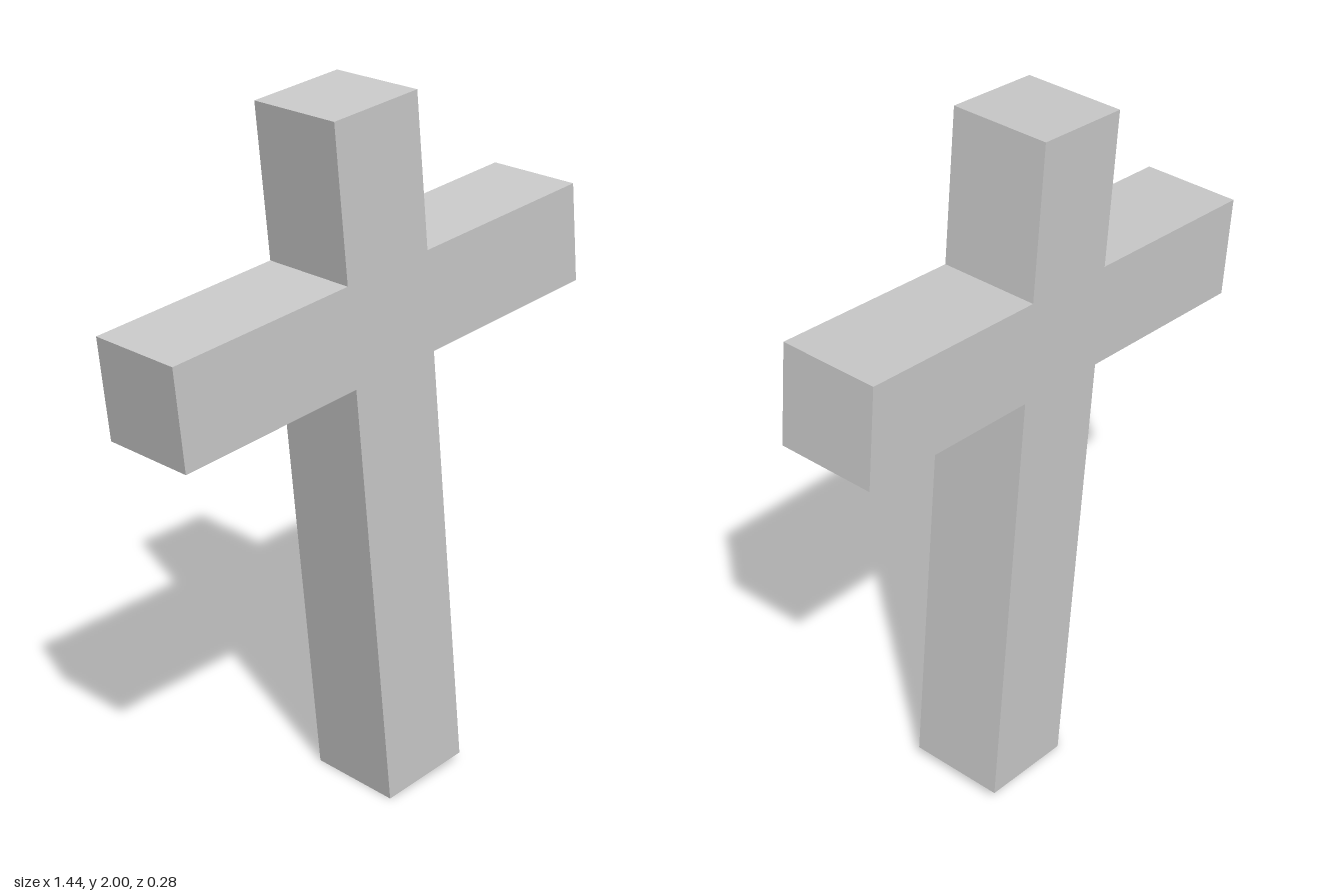
import * as THREE from 'three';

export function createModel() {
  const model = new THREE.Group();
  const stone = new THREE.MeshStandardMaterial({ color: 0xcccccc });
  stone.name = 'grey stone';

  // All proportions are multiples of the square beam width
  const u = 0.283;
  const half = [[0.5, 0], [0.5, 4.5], [2.5, 4.5], [2.5, 5.5], [0.5, 5.5], [0.5, 7]];
  const mirrored = half.map(([x, y]) => [-x, y]).reverse();
  const outline = [...half, ...mirrored].map(([x, y]) => new THREE.Vector2(x * u, y * u));

  // Upright and crossbar as one solid
  const geometry = new THREE.ExtrudeGeometry(new THREE.Shape(outline), { depth: u, bevelEnabled: false });
  geometry.translate(0, 0, -u / 2);
  const cross = new THREE.Mesh(geometry, stone);
  cross.name = 'cross';

  // Lean to one side, lowest corner on the ground
  const tilt = THREE.MathUtils.degToRad(6);
  cross.rotation.z = tilt;
  cross.position.set(u * 5 * Math.sin(tilt), u * 0.5 * Math.sin(tilt), 0);
  model.add(cross);
  return model;
}
